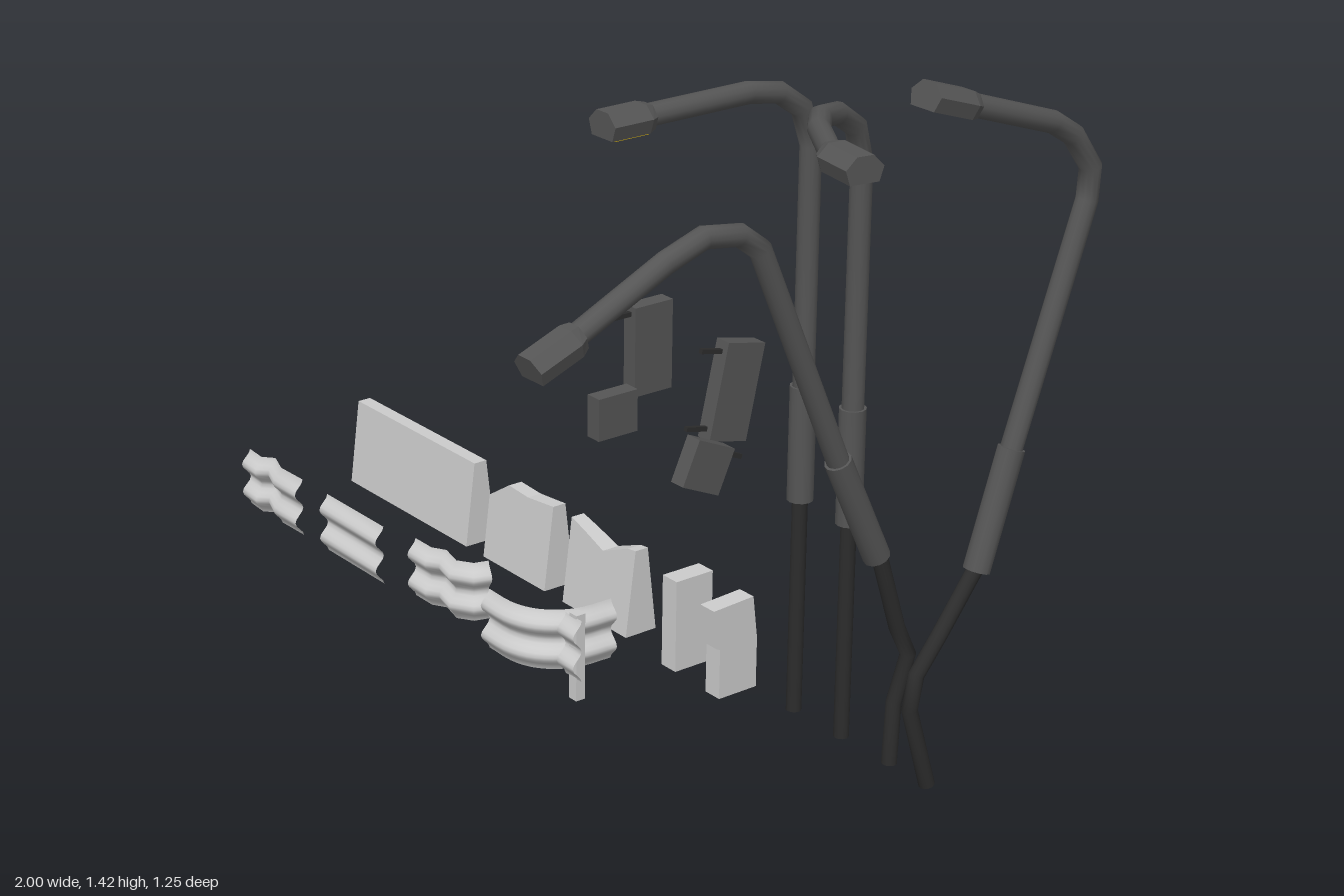
import * as THREE from 'three';

const V = (x, y, z) => new THREE.Vector3(x, y, z);
const mat = (color, side = THREE.FrontSide) => new THREE.MeshStandardMaterial({ color, side });
const grey = mat(0xcccccc);
const sheet = mat(0xcccccc, THREE.DoubleSide);
const dark = mat(0x555555);
const black = mat(0x2c2c2c);
const yellow = mat(0xd4b010);

function add(parent, name, geometry, material, x = 0, y = 0, z = 0) {
  const mesh = new THREE.Mesh(geometry, material);
  mesh.name = name;
  mesh.position.set(x, y, z);
  parent.add(mesh);
  return mesh;
}
const box = (w, h, d) => new THREE.BoxGeometry(w, h, d);

// Skin over rows of points
function loft(rows, closed) {
  const n = rows[0].length, index = [];
  for (let i = 0; i < rows.length - 1; i++) {
    for (let j = 0; j < (closed ? n : n - 1); j++) {
      const k = (j + 1) % n, a = i * n + j, b = i * n + k;
      index.push(a, b, a + n, b, b + n, a + n);
    }
  }
  const g = new THREE.BufferGeometry().setFromPoints(rows.flat());
  g.setIndex(index);
  g.computeVertexNormals();
  return g;
}

// Mitred round pipe through points, capped at both ends
function pipe(points, radius, sides = 12) {
  const dirs = points.slice(1).map((p, i) => p.clone().sub(points[i]).normalize());
  const q = new THREE.Quaternion();
  let prev = V(0, 1, 0);
  const rows = points.map((p, i) => {
    const t = (dirs[i - 1] || dirs[i]).clone().add(dirs[i] || dirs[i - 1]).normalize();
    q.premultiply(new THREE.Quaternion().setFromUnitVectors(prev, t));
    prev = t;
    return Array.from({ length: sides }, (_, j) => {
      const a = j / sides * Math.PI * 2;
      return V(Math.sin(a) * radius, 0, Math.cos(a) * radius).applyQuaternion(q).add(p);
    });
  });
  const cap = p => Array.from({ length: sides }, () => p.clone());
  const last = points.length - 1;
  return loft([cap(points[0]), rows[0].map(p => p.clone()), ...rows,
    rows[last].map(p => p.clone()), cap(points[last])], true);
}

// Concrete barrier: outline in x-y, both long faces lean inward towards the top
function barrier(parent, name, outline) {
  const shape = new THREE.Shape(outline.map(p => new THREE.Vector2(...p)));
  const g = new THREE.ExtrudeGeometry(shape, { depth: 1, bevelEnabled: false });
  const p = g.attributes.position;
  for (let i = 0; i < p.count; i++) {
    const half = 0.04 - 0.024 * p.getY(i) / 0.195;
    p.setZ(i, -0.227 + (p.getZ(i) > 0.5 ? half : -half));
  }
  g.computeVertexNormals();
  add(parent, name, g, grey);
}

// Corrugated guard rail following a plan path of [x, z]
function rail(parent, name, path, y0 = 0, smooth = false) {
  let pts = path.map(([x, z]) => V(x, 0, z));
  if (smooth) pts = new THREE.CatmullRomCurve3(pts).getPoints(16);
  const rows = pts.map((p, i) => {
    const t = pts[Math.min(i + 1, pts.length - 1)].clone().sub(pts[Math.max(i - 1, 0)]).normalize();
    return Array.from({ length: 17 }, (_, j) => {
      const v = j / 16, out = 0.011 * (1 - Math.cos(v * Math.PI * 4));
      return V(p.x - t.z * out, y0 + v * 0.135, p.z + t.x * out);
    });
  });
  add(parent, name, loft(rows, false), sheet);
}

// Street lamp head pointing from start to end
function lampHead(parent, start, end, lit) {
  const head = new THREE.Group();
  head.name = 'lampHead';
  const length = start.distanceTo(end);
  const shape = new THREE.Shape([[-0.03, -0.024], [0.03, -0.024], [0.039, 0.004],
    [0.017, 0.026], [-0.017, 0.026], [-0.039, 0.004]].map(p => new THREE.Vector2(...p)));
  const g = new THREE.ExtrudeGeometry(shape, { depth: length, steps: 6, bevelEnabled: false });
  const p = g.attributes.position;
  for (let i = 0; i < p.count; i++) {
    if (p.getZ(i) < 0.001) p.setXY(i, p.getX(i) * 0.75, p.getY(i) * 0.85);
  }
  g.computeVertexNormals();
  add(head, 'lampHousing', g, dark);
  if (lit) add(head, 'lampLens', box(0.05, 0.004, length * 0.75), yellow, 0, -0.025, length * 0.54);
  head.position.copy(start);
  head.lookAt(end);
  parent.add(head);
}

// Street lamp: thin lower pole, sleeve, upper pole with bent arm, head
function streetLamp(parent, name, lower, upper, tip, lit = false) {
  const lamp = new THREE.Group();
  lamp.name = name;
  add(lamp, 'lowerPole', pipe(lower, 0.016), black);
  add(lamp, 'sleeve', pipe(upper.slice(0, 2), 0.027), dark);
  add(lamp, 'upperPole', pipe(upper.slice(1), 0.022), dark);
  lampHead(lamp, upper[upper.length - 1], tip, lit);
  parent.add(lamp);
}

// Hanging sign box with mounting rods on its +z side
function signBox(parent, name, x, y, z, h, tilt, rods, d = 0.1) {
  const sign = new THREE.Group();
  sign.name = name;
  add(sign, 'signCase', box(0.038, h, d), dark);
  for (const r of rods) add(sign, 'signRod', box(0.01, 0.01, 0.06), black, 0, r, d / 2 + 0.025);
  sign.position.set(x, y, z);
  sign.rotation.x = tilt;
  parent.add(sign);
  return sign;
}

export function createModel() {
  const model = new THREE.Group();
  model.name = 'roadsideSet';

  // Concrete barriers, one whole and two broken
  barrier(model, 'longBarrier', [[-0.97, 0], [-0.51, 0], [-0.51, 0.195], [-0.97, 0.195]]);
  barrier(model, 'chippedBarrier', [[-0.445, 0], [-0.22, 0], [-0.22, 0.193], [-0.31, 0.184],
    [-0.38, 0.188], [-0.445, 0.145]]);
  barrier(model, 'notchedBarrier', [[-0.155, 0], [0.065, 0], [0.065, 0.193], [0.04, 0.19],
    [-0.04, 0.157], [-0.11, 0.18], [-0.155, 0.193]]);

  // Guard rails
  rail(model, 'dentedRail', [[-1, 0.068], [-0.945, 0.072], [-0.92, 0.05], [-0.865, 0.07], [-0.78, 0.068]]);
  rail(model, 'straightRail', [[-0.68, 0.068], [-0.46, 0.068]]);
  rail(model, 'crumpledRail', [[-0.37, 0.046], [-0.31, 0.046], [-0.28, 0.028], [-0.225, 0.042],
    [-0.192, 0.02], [-0.183, -0.012]]);
  rail(model, 'curvedRail', [[-0.07, 0.068], [0.01, 0.068], [0.06, 0.05], [0.095, 0.015],
    [0.114, -0.03], [0.118, -0.105]], 0, true);

  // Rail post with a short rail piece
  add(model, 'railPost', box(0.024, 0.19, 0.022), grey, 0.222, 0.095, 0.062);
  rail(model, 'railEndPiece', [[0.197, 0.072], [0.25, 0.072]], 0.05);

  // Bollards, one plain and one with a displaced upper half
  add(model, 'plainBollard', box(0.045, 0.203, 0.095), grey, 0.228, 0.1015, -0.218);
  const profile = new THREE.Shape([[0.165, 0], [0.262, 0], [0.262, 0.11], [0.25, 0.205],
    [0.147, 0.2], [0.155, 0.115], [0.165, 0.11]].map(p => new THREE.Vector2(...p)));
  const bollard = new THREE.ExtrudeGeometry(profile, { depth: 0.043, bevelEnabled: false });
  add(model, 'brokenBollard', bollard, grey, 0.355, 0, 0).rotation.y = Math.PI / 2;

  // Sign boxes, the first one with lit panels
  const lit = signBox(model, 'litSign', -0.103, 0.563, -0.372, 0.2, 0, [0.083, -0.083]);
  for (const y of [0.047, -0.047]) add(lit, 'signPanel', box(0.004, 0.082, 0.08), yellow, -0.02, y, 0);
  signBox(model, 'tiltedSign', 0.155, 0.543, -0.386, 0.212, -0.22, [0.083, -0.083]);
  signBox(model, 'halfSign', 0.058, 0.517, -0.152, 0.092, 0, []);
  const broken = signBox(model, 'brokenSign', 0.325, 0.487, -0.172, 0.1, -0.42, []);
  add(broken, 'signRod', box(0.01, 0.01, 0.05), black, 0, 0.035, -0.065);

  // Street lamps: [y, z] points in the plane x = constant
  const plane = (x, list) => list.map(([y, z]) => V(x, y, z));
  const B = -0.258;
  streetLamp(model, 'straightLamp', plane(0.52, [[0, B], [0.47, B]]),
    plane(0.52, [[0.46, B], [0.7, B], [1.19, B], [1.265, -0.232], [1.305, -0.175], [1.318, -0.1], [1.318, 0.135]]),
    V(0.52, 1.318, 0.24), true);
  streetLamp(model, 'twistedLamp', plane(0.663, [[0, B], [0.47, B]]),
    [V(0.663, 0.46, B), V(0.663, 0.7, B), V(0.663, 1.19, B), V(0.668, 1.265, -0.235), V(0.683, 1.305, -0.175),
      V(0.715, 1.318, -0.105), V(0.77, 1.318, -0.055), V(0.885, 1.318, 0.02)],
    V(0.995, 1.318, 0.038));
  streetLamp(model, 'forwardBentLamp',
    plane(0.803, [[0, B], [0.13, -0.264], [0.225, -0.296], [0.29, -0.264], [0.47, -0.206]]),
    plane(0.803, [[0.455, -0.204], [0.678, -0.097], [1.135, 0.105], [1.172, 0.154], [1.184, 0.235],
      [1.155, 0.32], [1.066, 0.51]]),
    V(0.803, 1.026, 0.614));
  streetLamp(model, 'backwardBentLamp',
    plane(0.91, [[0, B], [0.176, -0.204], [0.245, -0.218], [0.315, -0.275], [0.435, -0.366]]),
    plane(0.91, [[0.423, -0.362], [0.655, -0.438], [1.116, -0.6], [1.18, -0.604], [1.25, -0.553],
      [1.285, -0.498], [1.355, -0.292]]),
    V(0.91, 1.393, -0.178));
  return model;
}
